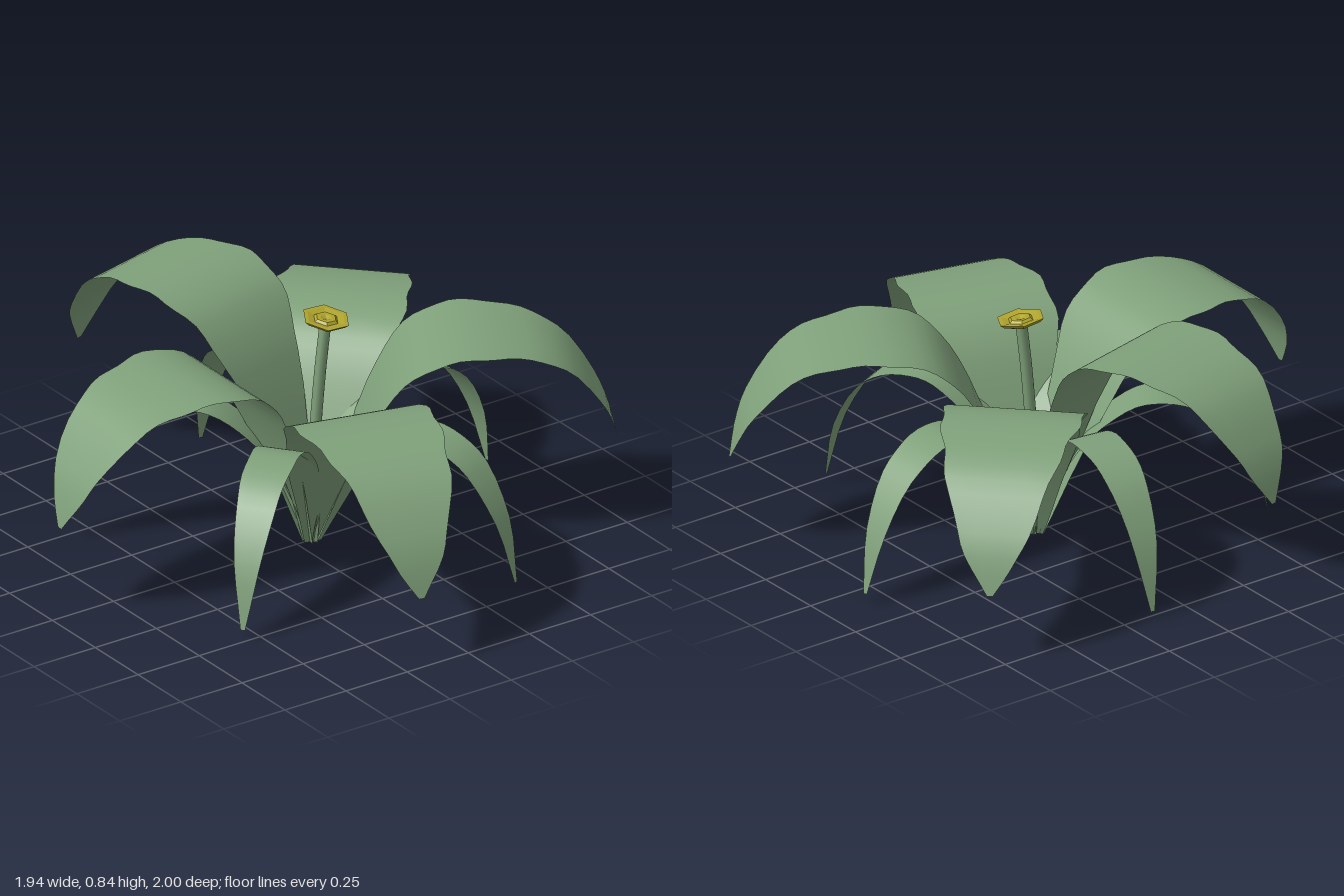
import * as THREE from 'three';

const green = new THREE.MeshStandardMaterial({ color: 0x7fa07a, side: THREE.DoubleSide });
const yellow = new THREE.MeshStandardMaterial({ color: 0xb0a52e, side: THREE.DoubleSide, flatShading: true });
const ROOT_X = 0.06;

// Leaf sections: [distance outward, height, half width]
const BIG = [[0.015, 0, 0.03], [0.1, 0.25, 0.1], [0.2, 0.5, 0.165], [0.28, 0.635, 0.205], [0.36, 0.71, 0.228],
  [0.46, 0.747, 0.237], [0.56, 0.755, 0.232], [0.66, 0.745, 0.215], [0.76, 0.72, 0.195], [0.86, 0.66, 0.17],
  [0.96, 0.53, 0.12], [1.0, 0.445, 0.08], [1.03, 0.335, 0.01]];
const SMALL = [[0.015, 0, 0.025], [0.05, 0.13, 0.045], [0.1, 0.25, 0.06], [0.16, 0.35, 0.072], [0.24, 0.435, 0.08],
  [0.34, 0.5, 0.083], [0.43, 0.515, 0.082], [0.54, 0.49, 0.078], [0.64, 0.42, 0.068], [0.74, 0.25, 0.045],
  [0.79, 0.035, 0.008]];

// Arched ribbon swept along the sections, with slightly wavy edges
function leafGeometry(sections, lift, wave, seed) {
  const curve = new THREE.CatmullRomCurve3(sections.map(([r, y, w]) =>
    new THREE.Vector3(r, y + lift * Math.min(1, y / 0.5 + r * r), w)));
  const rows = 30, cols = 4;
  const geo = new THREE.PlaneGeometry(1, 1, cols, rows);
  const pos = geo.attributes.position;
  for (let j = 0; j <= rows; j++) {
    const t = j / rows;
    const p = curve.getPoint(t);
    for (let i = 0; i <= cols; i++) {
      const u = (i / cols) * 2 - 1;
      const ripple = 1 + wave * Math.sin(t * 38 + seed + u * 2);
      pos.setXYZ(j * (cols + 1) + i, p.x, p.y, u * p.z * ripple);
    }
  }
  geo.computeVertexNormals();
  return geo;
}

export function createModel() {
  const model = new THREE.Group();
  model.name = 'plant';

  function addLeaf(name, sections, degrees, lift, wave, seed) {
    const leaf = new THREE.Mesh(leafGeometry(sections, lift, wave, seed), green);
    leaf.name = name;
    leaf.position.x = ROOT_X;
    leaf.rotation.y = THREE.MathUtils.degToRad(degrees);
    model.add(leaf);
  }

  // Five broad leaves at differing heights: [angle, lift]
  [[180, 0], [104, 0.085], [44.5, -0.08], [-30, 0.005], [-104, -0.08]].forEach(([a, lift], i) =>
    addLeaf('broadLeaf' + (i + 1), BIG, a, lift, 0.03, i * 1.7));

  // Five narrow leaves between them
  [7, 83, 143, -142, -65].forEach((a, i) =>
    addLeaf('narrowLeaf' + (i + 1), SMALL, a, 0, 0.02, i * 1.3));

  // Slender leaning stem
  const stemPath = new THREE.CatmullRomCurve3([
    new THREE.Vector3(ROOT_X, 0, 0), new THREE.Vector3(0.068, 0.3, 0),
    new THREE.Vector3(0.095, 0.62, 0), new THREE.Vector3(0.117, 0.795, 0)]);
  const stem = new THREE.Mesh(new THREE.TubeGeometry(stemPath, 10, 0.02, 6), green);
  stem.name = 'stem';
  model.add(stem);

  // Six-sided flower cup with a small raised centre
  const profile = [[0, -0.02], [0.035, -0.018], [0.07, -0.004], [0.085, 0.01], [0.07, 0.01],
    [0.045, 0.004], [0.036, 0.012], [0.02, 0.012], [0, 0.004]].map(([x, y]) => new THREE.Vector2(x, y));
  const flower = new THREE.Mesh(new THREE.LatheGeometry(profile, 6, Math.PI / 2), yellow);
  flower.name = 'flowerHead';
  flower.position.set(0.118, 0.803, 0);
  flower.rotation.set(0.14, 0, -0.07);
  model.add(flower);

  return model;
}
